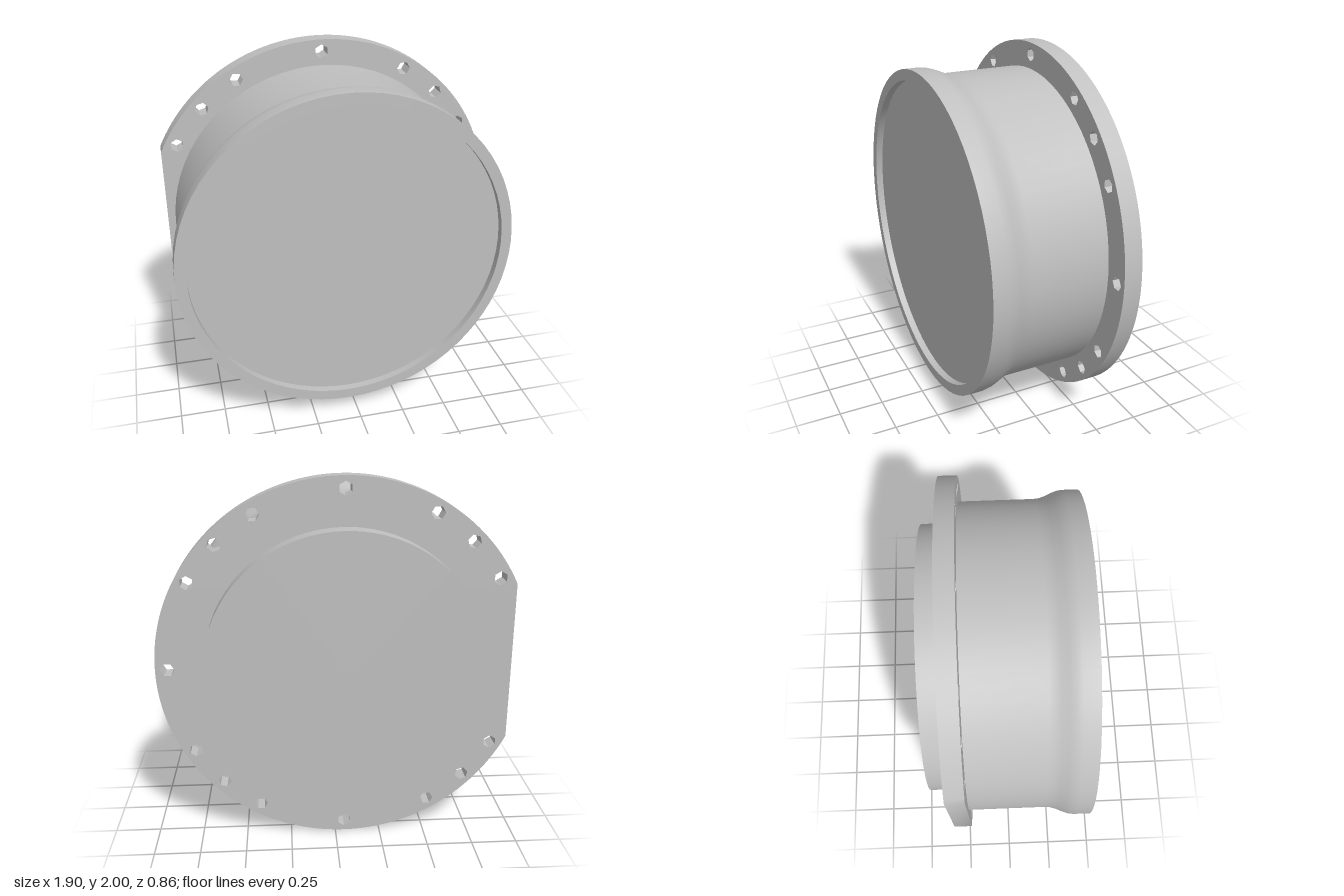
import * as THREE from 'three';
import { toCreasedNormals } from 'three/addons/utils/BufferGeometryUtils.js';

const CX = -0.05, CY = 1; // axis of the round body

export function createModel() {
  const group = new THREE.Group();
  const metal = new THREE.MeshStandardMaterial({ color: 0xc0c0c0 });
  metal.name = 'plain grey metal';

  const add = (name, geometry) => {
    const mesh = new THREE.Mesh(toCreasedNormals(geometry, 0.6), metal);
    mesh.name = name;
    mesh.position.set(CX, CY, 0);
    group.add(mesh);
  };
  // Profile of [radius, z], turned about the z axis
  const turned = (profile) => new THREE.LatheGeometry(
    profile.map(([r, z]) => new THREE.Vector2(r, z)), 72).rotateX(Math.PI / 2);

  // Barrel with flared lip and a shallow recessed front face
  add('barrel', turned([
    [0.86, -0.22], [0.86, 0.19], [0.863, 0.22], [0.872, 0.25], [0.888, 0.285],
    [0.899, 0.315], [0.904, 0.345], [0.904, 0.43], [0.845, 0.43], [0.845, 0.39], [0, 0.39],
  ]));

  // Flange: disc with one flat side and bolt holes
  const cut = Math.acos(-0.9);
  const outline = new THREE.Shape();
  outline.absarc(0, 0, 1, -cut, cut, false);
  outline.closePath();
  for (const deg of [0, 30, 45, 60, 90, 120, 135, 150, -30, -45, -60, -90, -120, -135, -150]) {
    const a = THREE.MathUtils.degToRad(deg);
    const points = [];
    for (let i = 0; i < 6; i++) {
      const t = a - i * Math.PI / 3;
      points.push(new THREE.Vector2(
        0.936 * Math.cos(a) + 0.037 * Math.cos(t), 0.936 * Math.sin(a) + 0.037 * Math.sin(t)));
    }
    outline.holes.push(new THREE.Path(points));
  }
  add('flange', new THREE.ExtrudeGeometry(outline, { depth: 0.1, bevelEnabled: false, curveSegments: 72 })
    .translate(0, 0, -0.32));

  // Raised disc on the back
  add('backBoss', turned([[0, -0.43], [0.745, -0.43], [0.745, -0.32]]));

  return group;
}
